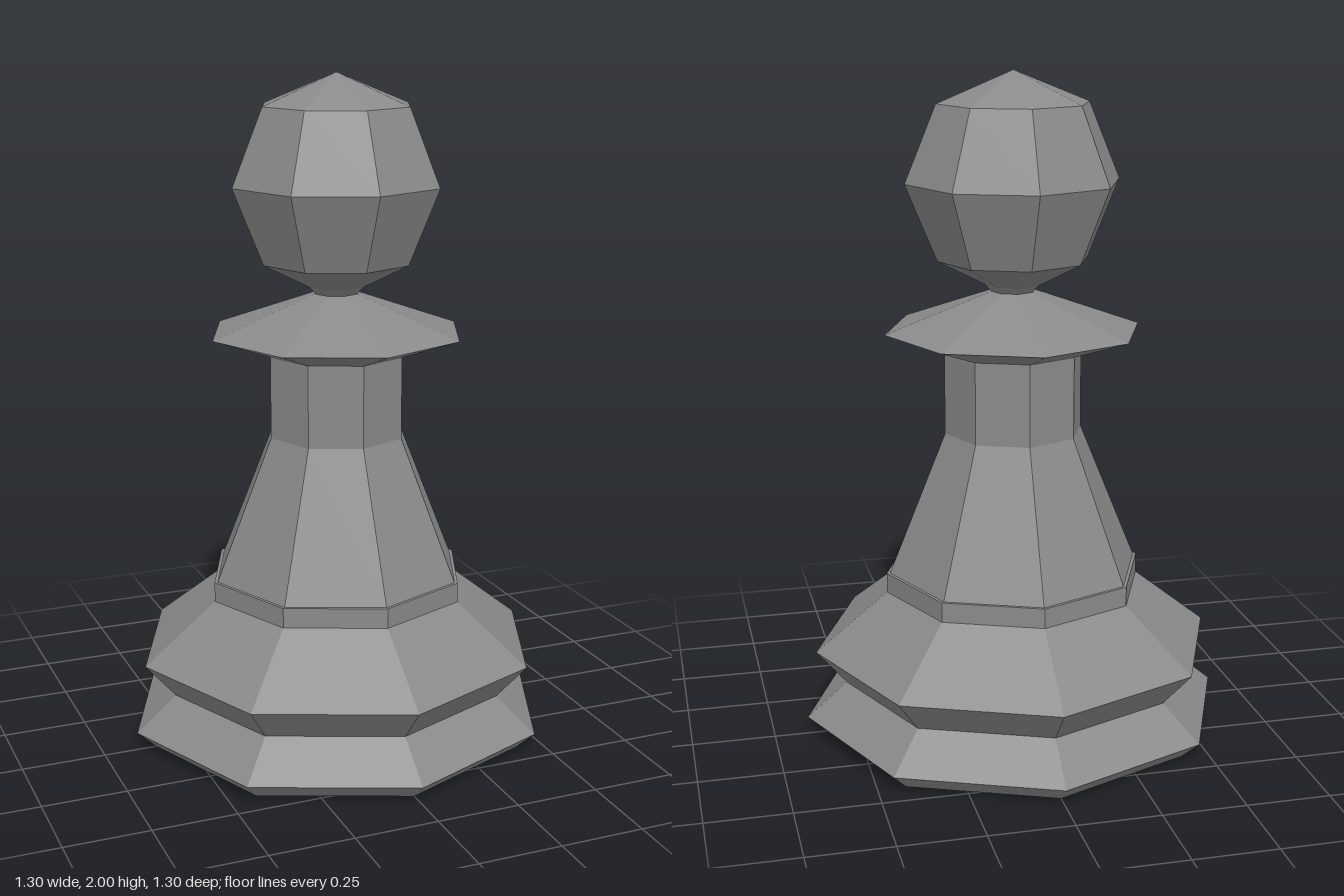
import * as THREE from 'three';

const SIDES = 8;
const material = new THREE.MeshStandardMaterial({ color: 0x8a8a8a, flatShading: true, side: THREE.DoubleSide });

// Eight-sided turned part from [radius, height] pairs, listed bottom to top
function turned(name, profile) {
  const points = profile.map(([r, y]) => new THREE.Vector2(r, y));
  const mesh = new THREE.Mesh(new THREE.LatheGeometry(points, SIDES), material);
  mesh.name = name;
  return mesh;
}

export function createModel() {
  const pawn = new THREE.Group();
  pawn.name = 'chessPawn';

  pawn.add(
    // Stepped foot with two flared rings
    turned('base', [[0, 0], [0.59, 0], [0.648, 0.053], [0.525, 0.157], [0.617, 0.263], [0.395, 0.44]]),
    // Narrow band with a thin ledge around the foot of the stem
    turned('baseBand', [[0.395, 0.44], [0.395, 0.5], [0.385, 0.5]]),
    // Tapered body and straight upper stem
    turned('stem', [[0.385, 0.5], [0.21, 0.93], [0.21, 1.178]]),
    // Sharp-edged collar
    turned('collar', [[0.21, 1.178], [0.388, 1.24], [0.067, 1.357]]),
    // Short neck opening into the faceted ball
    turned('head', [[0.067, 1.357], [0.085, 1.378], [0.228, 1.452], [0.322, 1.68], [0.228, 1.907], [0, 2]])
  );
  return pawn;
}
